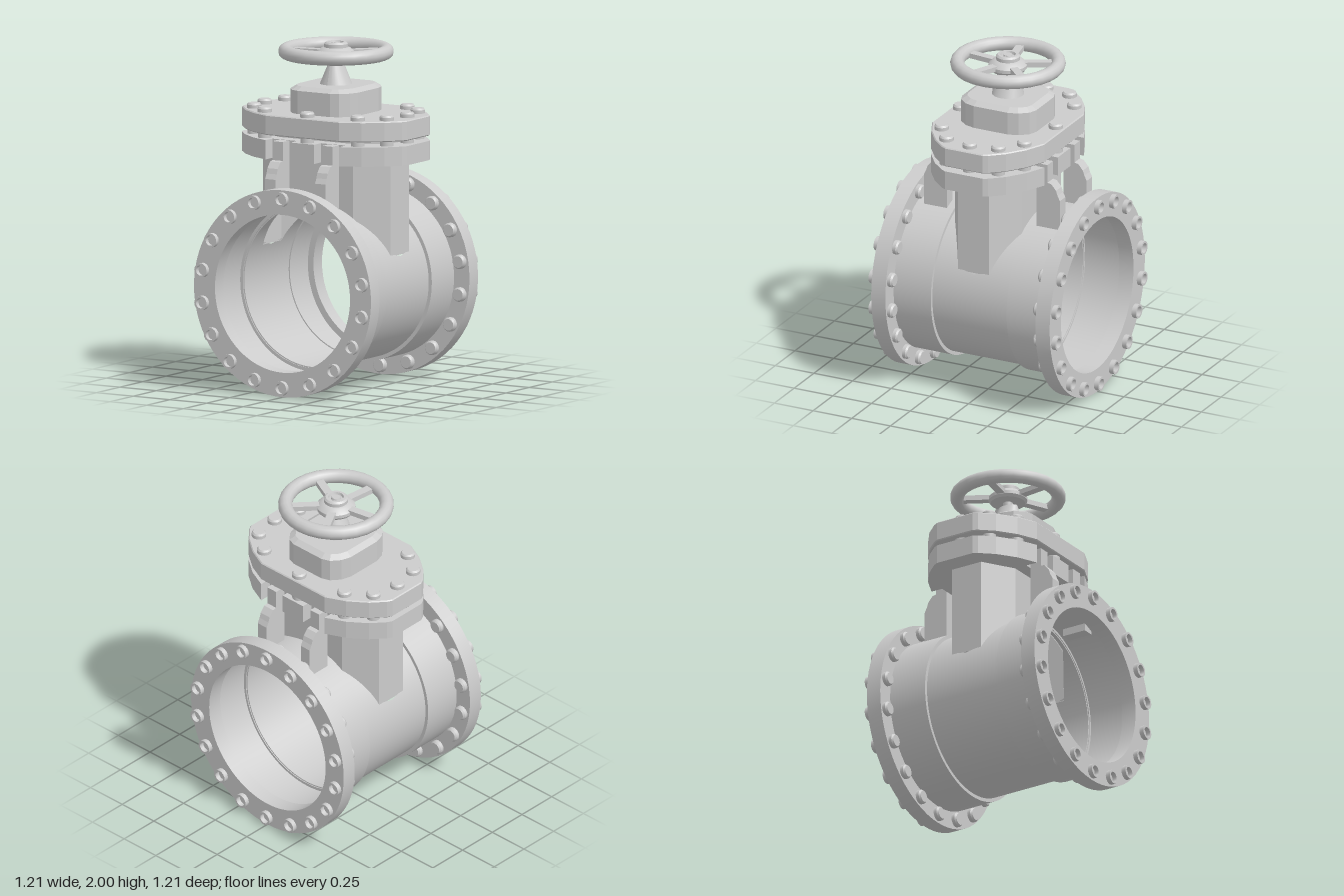
import * as THREE from 'three';
import { toCreasedNormals } from 'three/addons/utils/BufferGeometryUtils.js';

const MAT = new THREE.MeshStandardMaterial({ color: 0xcccccc });
const THIN = new THREE.MeshStandardMaterial({ color: 0xcccccc, side: THREE.DoubleSide });
const AXIS_Y = 0.605, PIPE_R = 0.477;

function add(parent, name, geo, mat = MAT) {
  const m = new THREE.Mesh(geo, mat);
  m.name = name;
  parent.add(m);
  return m;
}
const lathe = (pts, seg) =>
  toCreasedNormals(new THREE.LatheGeometry(pts.map(p => new THREE.Vector2(...p)), seg), 0.6);

// Upright slab with the given plan outline, from y0 to y1
function slab(pts, y0, y1, bevel) {
  const geo = new THREE.ExtrudeGeometry(new THREE.Shape(pts.map(p => new THREE.Vector2(...p))), {
    depth: y1 - y0 - 2 * bevel, bevelEnabled: bevel > 0, bevelSize: bevel,
    bevelThickness: bevel, bevelOffset: -bevel, bevelSegments: 1,
  });
  return geo.rotateX(-Math.PI / 2).translate(0, y0 + bevel, 0);
}
// Mirror one quarter of an outline (from the front edge to the side) all round
function mirrorQuarter(q) {
  const r = [...q].reverse();
  return [...r, ...q.map(([x, z]) => [-x, z]), ...r.map(([x, z]) => [-x, -z]), ...q.map(([x, z]) => [x, -z])];
}

// Neck plan: half depth in z at a given x
const NECK_X = 0.435;
function neckHalf(x) {
  const a = Math.abs(x);
  if (a > NECK_X) return 0;
  return a < 0.25 ? 0.215 : 0.215 - 0.115 * (a - 0.25) / (NECK_X - 0.25);
}

// Neck walls whose lower edge follows the pipe
function neckGeometry() {
  const corners = mirrorQuarter([[0.25, 0.215], [NECK_X, 0.1]]);
  const pos = [], idx = [];
  const steps = 12;
  corners.forEach((a, i) => {
    const b = corners[(i + 1) % corners.length];
    for (let k = 0; k <= steps; k++) {
      const t = k / steps;
      const x = a[0] + (b[0] - a[0]) * t, z = a[1] + (b[1] - a[1]) * t;
      const n = pos.length / 3;
      pos.push(x, AXIS_Y + Math.sqrt(PIPE_R ** 2 - x * x) - 0.006, z, x, 1.48, z);
      if (k < steps) idx.push(n, n + 1, n + 2, n + 2, n + 1, n + 3);
    }
  });
  const geo = new THREE.BufferGeometry();
  geo.setAttribute('position', new THREE.Float32BufferAttribute(pos, 3));
  geo.setIndex(idx);
  geo.computeVertexNormals();
  return geo;
}

// Half of the pipe body, its inner edge moved to leave the neck opening
function bodyHalf() {
  const geo = new THREE.CylinderGeometry(PIPE_R, PIPE_R, 0.25, 128, 1, true).rotateX(Math.PI / 2);
  const p = geo.attributes.position;
  for (let i = 0; i < p.count; i++) {
    const inner = p.getZ(i) < 0;
    p.setZ(i, inner ? (p.getY(i) > 0 ? neckHalf(p.getX(i)) : 0) : 0.25);
  }
  return geo;
}

const BOLT = lathe([[0.042, 0], [0.042, 0.02], [0.034, 0.03], [0, 0.03]], 16);
const NUT = lathe([[0.03, 0], [0.042, 0], [0.042, 0.03], [0.03, 0.03], [0.03, 0]], 16);

// One pipe end: body half, collar, bolted flange and support ribs
function pipeEnd() {
  const end = new THREE.Group();
  end.name = 'pipeEnd';
  add(end, 'pipeBody', bodyHalf(), THIN).position.y = AXIS_Y;

  const collar = lathe([[0.47, 0.245], [0.498, 0.245], [0.498, 0.49]], 96).rotateX(Math.PI / 2);
  add(end, 'collar', collar, THIN).position.y = AXIS_Y;
  const flange = lathe([[0.46, 0.485], [0.603, 0.485], [0.603, 0.577], [0.46, 0.577], [0.46, 0.485]], 72)
    .rotateX(Math.PI / 2);
  add(end, 'pipeFlange', flange, THIN).position.y = AXIS_Y;

  for (let i = 0; i < 18; i++) {
    const a = Math.PI / 2 + i * Math.PI / 9;
    const x = 0.55 * Math.cos(a), y = AXIS_Y + 0.55 * Math.sin(a);
    const head = add(end, 'flangeBolt', BOLT);
    head.position.set(x, y, 0.485);
    head.rotation.x = -Math.PI / 2;
    const nut = add(end, 'flangeNut', NUT);
    nut.position.set(x, y, 0.575);
    nut.rotation.x = Math.PI / 2;
  }

  // Ribs between collar and lower bonnet flange
  const rib = new THREE.Shape([[0.29, 1.04], [0.44, 1.04], [0.44, 1.24], [0.425, 1.27], [0.415, 1.3],
    [0.385, 1.335], [0.36, 1.34], [0.36, 1.45], [0.29, 1.45]].map(p => new THREE.Vector2(...p)));
  for (const x of [-0.17, 0.17]) {
    const geo = new THREE.ExtrudeGeometry(rib, { depth: 0.07, bevelEnabled: false })
      .translate(0, 0, -0.035).rotateY(-Math.PI / 2);
    add(end, 'supportRib', geo).position.x = x;
  }
  return end;
}

function bonnet() {
  const g = new THREE.Group();
  g.name = 'bonnet';
  add(g, 'neck', neckGeometry(), THIN);

  const curve = [[0.25, 0.363], [0.37, 0.308], [0.475, 0.23], [0.545, 0.15], [0.56, 0.122]];
  const notch = [[0.08, 0.363], [0.08, 0.29], [0.25, 0.29]];
  add(g, 'lowerPlate', slab(mirrorQuarter([...notch, ...curve]), 1.34, 1.452, 0));
  add(g, 'upperPlate', slab(mirrorQuarter(curve), 1.482, 1.6, 0.006));

  const spots = [[0.485, 0], [-0.485, 0], [0, 0.31], [0, -0.31]];
  for (const sx of [-1, 1]) for (const sz of [-1, 1])
    spots.push([sx * 0.452, sz * 0.167], [sx * 0.317, sz * 0.267]);
  for (const [x, z] of spots) {
    add(g, 'plateBolt', BOLT).position.set(x, 1.6, z);
    add(g, 'boltShank', new THREE.CylinderGeometry(0.04, 0.04, 0.04, 16)).position.set(x, 1.467, z);
  }

  // Raised cap with chamfered top
  const cap = [[0.11, 0.24], [0.16, 0.222], [0.203, 0.17], [0.221, 0.11]];
  add(g, 'cap', slab(mirrorQuarter(cap), 1.59, 1.735, 0));
  const top = new THREE.ExtrudeGeometry(
    new THREE.Shape(mirrorQuarter(cap).map(p => new THREE.Vector2(...p))),
    { depth: 0.001, bevelSize: 0.035, bevelOffset: -0.035, bevelThickness: 0.022, bevelSegments: 1 });
  add(g, 'capChamfer', top.rotateX(-Math.PI / 2).translate(0, 1.734, 0));

  // Yoke: tapers more across x than across z
  const yoke = new THREE.CylinderGeometry(0.062, 0.096, 0.13, 24);
  const p = yoke.attributes.position;
  for (let i = 0; i < p.count; i++) if (p.getY(i) > 0) p.setX(i, p.getX(i) * 0.55);
  yoke.computeVertexNormals();
  add(g, 'yoke', yoke).position.y = 1.815;
  return g;
}

function handwheel() {
  const g = new THREE.Group();
  g.name = 'handwheel';
  add(g, 'rim', new THREE.TorusGeometry(0.293, 0.041, 14, 28).rotateX(Math.PI / 2)).position.y = 1.945;
  add(g, 'hub', lathe([[0, 1.905], [0.1, 1.905], [0.112, 1.92], [0.112, 1.94], [0.085, 1.965],
    [0.07, 1.97], [0.07, 1.99], [0.06, 2.0], [0.045, 2.0], [0.04, 1.985], [0.028, 1.985],
    [0.024, 1.998], [0, 1.998]], 24), THIN);
  add(g, 'stem', new THREE.CylinderGeometry(0.028, 0.028, 0.12, 16)).position.y = 1.88;
  for (let i = 0; i < 5; i++) {
    const spoke = add(g, 'spoke', new THREE.BoxGeometry(0.2, 0.03, 0.048).translate(0.18, 1.938, 0));
    spoke.rotation.y = -(25 + 72 * i) * Math.PI / 180;
  }
  return g;
}

export function createModel() {
  const model = new THREE.Group();
  model.name = 'gateValve';
  const front = pipeEnd(), back = pipeEnd();
  back.rotation.y = Math.PI;
  model.add(front, back, bonnet(), handwheel());
  return model;
}
